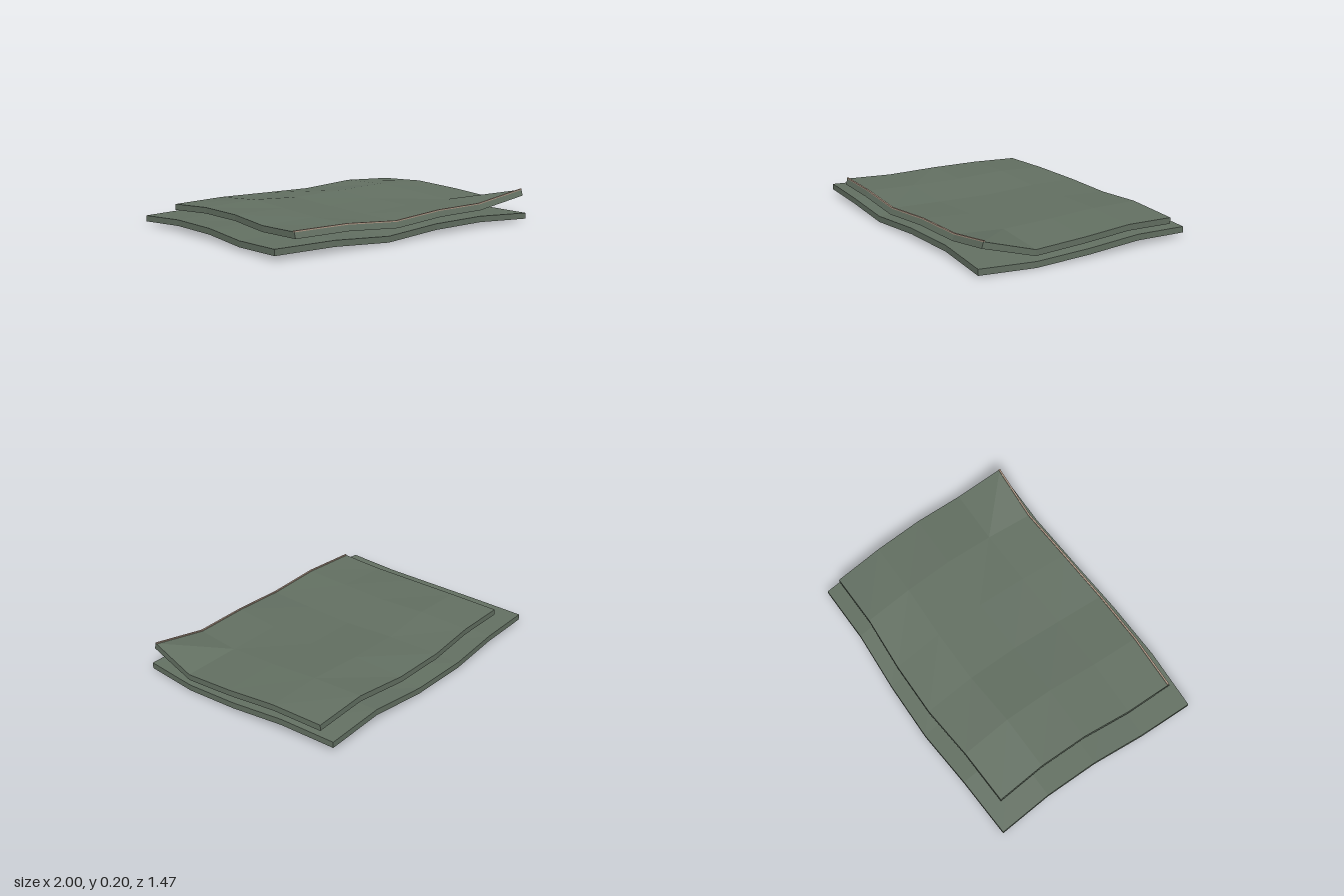
import * as THREE from 'three';

// Rows run back to front, columns run along x.
const WAVES = [
  [0.017, 0.025, 0.015, 0.012, 0.04, 0.022],
  [0.035, 0.047, 0.025, 0.035, 0.047, 0.037],
  [0.035, 0.035, 0.01, 0.02, 0.035, 0.02],
  [0.02, 0.03, 0.008, 0.02, 0.02, 0.001],
  [0.03, 0.033, 0.008, 0.03, 0.03, 0.01],
];
const ROWS = WAVES.length, COLS = WAVES[0].length;
const THICK = 0.037;
const lerp = THREE.MathUtils.lerp;

// Grid of underside points from the four wavy borders
function layerPoints({ left, right, back, front, lift, curl }) {
  return WAVES.map((row, j) => row.map((h, i) => {
    const u = i / (COLS - 1), v = j / (ROWS - 1);
    const corner = j === ROWS - 1 && i === COLS - 1;
    return new THREE.Vector3(
      lerp(left[j], right[j], u), h + lift + (corner ? curl : 0), lerp(back[i], front[i], v));
  }));
}

// Closed flat-shaded slab between two point grids
function slab(bottom, top, material, name) {
  const pos = [];
  const quad = (a, b, c, d) => [a, b, c, a, c, d].forEach((p) => pos.push(p.x, p.y, p.z));
  const R = top.length - 1, C = top[0].length - 1;
  for (let j = 0; j < R; j++) {
    for (let i = 0; i < C; i++) {
      quad(top[j][i], top[j + 1][i], top[j + 1][i + 1], top[j][i + 1]);
      quad(bottom[j][i], bottom[j][i + 1], bottom[j + 1][i + 1], bottom[j + 1][i]);
    }
    quad(bottom[j][0], bottom[j + 1][0], top[j + 1][0], top[j][0]);
    quad(bottom[j + 1][C], bottom[j][C], top[j][C], top[j + 1][C]);
  }
  for (let i = 0; i < C; i++) {
    quad(bottom[R][i], bottom[R][i + 1], top[R][i + 1], top[R][i]);
    quad(bottom[0][i + 1], bottom[0][i], top[0][i], top[0][i + 1]);
  }
  const geometry = new THREE.BufferGeometry();
  geometry.setAttribute('position', new THREE.Float32BufferAttribute(pos, 3));
  geometry.computeVertexNormals();
  const mesh = new THREE.Mesh(geometry, material);
  mesh.name = name;
  return mesh;
}

const shifted = (grid, y, z = 0) =>
  grid.map((row) => row.map((p) => new THREE.Vector3(p.x, p.y + y, p.z + z)));

export function createModel() {
  const group = new THREE.Group();
  group.name = 'foldedBlanket';

  const cloth = new THREE.MeshStandardMaterial({ color: 0x637062, flatShading: true });
  cloth.name = 'greyGreenCloth';
  const tan = new THREE.MeshStandardMaterial({ color: 0xb09a88, flatShading: true });
  tan.name = 'tanTrim';

  // Lower layer
  const lower = layerPoints({
    left: [-0.97, -0.95, -0.955, -0.985, -1],
    right: [0.95, 0.975, 1, 0.995, 0.965],
    back: [-0.695, -0.71, -0.735, -0.725, -0.7, -0.7],
    front: [0.7, 0.725, 0.73, 0.705, 0.69, 0.71],
    lift: 0, curl: 0,
  });
  group.add(slab(lower, shifted(lower, THICK), cloth, 'lowerLayer'));

  // Upper layer with one lifted corner; its front edge leans back slightly
  const upper = layerPoints({
    left: [-0.815, -0.795, -0.8, -0.83, -0.84],
    right: [0.945, 0.97, 0.992, 0.992, 0.96],
    back: [-0.6, -0.61, -0.637, -0.63, -0.605, -0.605],
    front: [0.675, 0.695, 0.7, 0.68, 0.665, 0.685],
    lift: 0.068, curl: 0.078,
  });
  const upperTop = shifted(upper, THICK);
  upperTop[ROWS - 1].forEach((p) => { p.z -= 0.012; });
  group.add(slab(upper, upperTop, cloth, 'upperLayer'));

  // Thin trim along the upper front edge
  const edge = [upperTop[ROWS - 1]];
  const strip = [...shifted(edge, 0, -0.01), ...shifted(edge, 0, 0.001)];
  group.add(slab(shifted(strip, -0.002), shifted(strip, 0.006), tan, 'edgeTrim'));

  return group;
}
